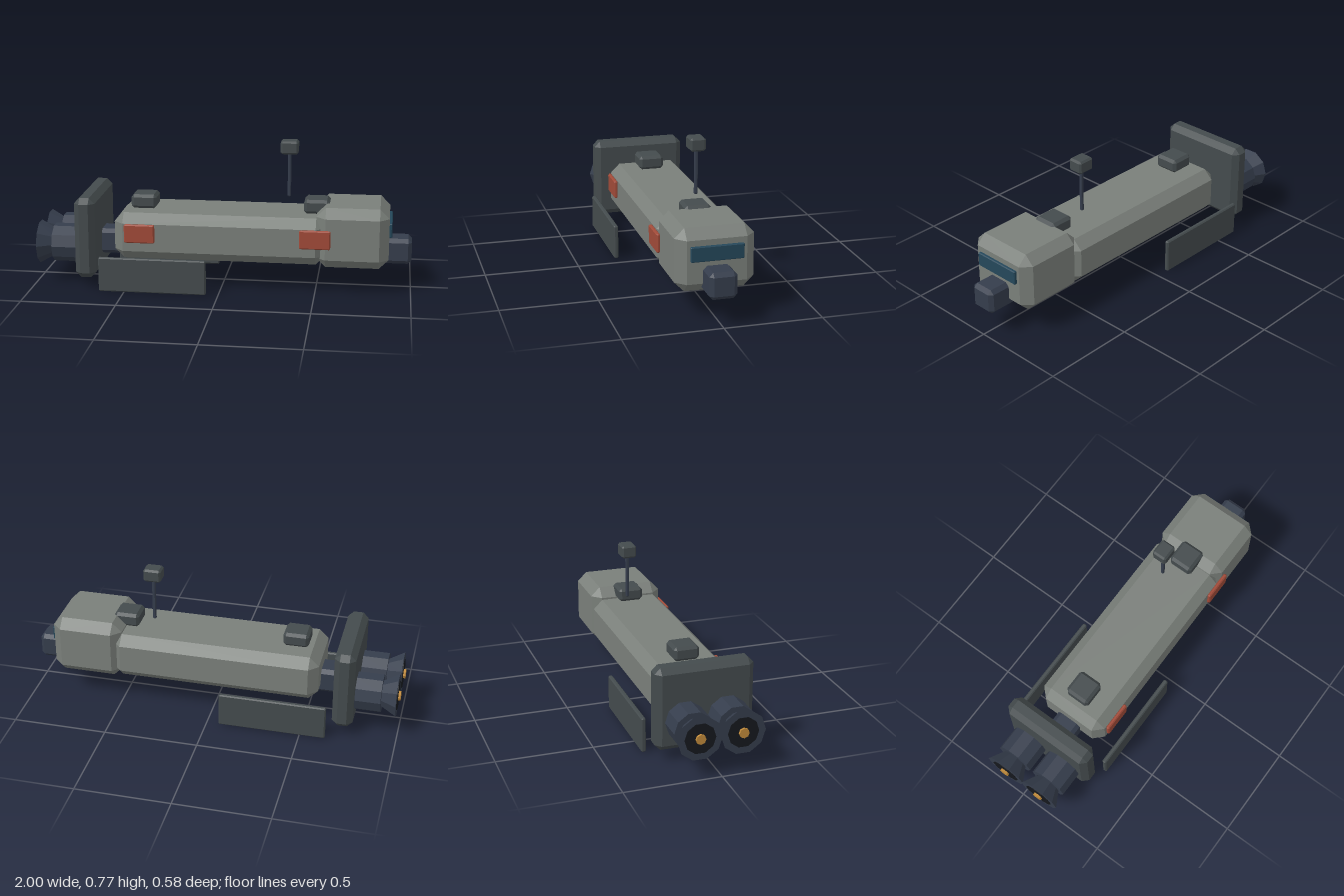
import * as THREE from 'three';
import { ConvexGeometry } from 'three/addons/geometries/ConvexGeometry.js';

const paint = (color) => new THREE.MeshStandardMaterial({ color, flatShading: true });

export function createModel() {
  const ship = new THREE.Group();
  ship.name = 'spaceship';
  const hullGrey = paint(0x7a7f7a);
  const darkGrey = paint(0x444b4d);
  const navy = paint(0x353d4c);
  const black = paint(0x15181d);
  const red = paint(0xa04a38);
  const teal = paint(0x24475a);
  const amber = paint(0xc08a3a);

  const add = (name, geometry, material) => {
    const mesh = new THREE.Mesh(geometry, material);
    mesh.name = name;
    ship.add(mesh);
    return mesh;
  };

  // Box with every edge and corner chamfered, given by its limits on each axis
  const block = (name, [x0, x1], [y0, y1], [z0, z1], c, material) => {
    const half = [(x1 - x0) / 2, (y1 - y0) / 2, (z1 - z0) / 2];
    const points = [];
    for (const sx of [-1, 1]) for (const sy of [-1, 1]) for (const sz of [-1, 1])
      for (let full = 0; full < 3; full++) {
        const [x, y, z] = half.map((h, axis) => (axis === full ? h : h - c));
        points.push(new THREE.Vector3(sx * x, sy * y, sz * z));
      }
    const mesh = add(name, new ConvexGeometry(points), material);
    mesh.position.set((x0 + x1) / 2, (y0 + y1) / 2, (z0 + z1) / 2);
  };

  // Round part along x; rBack is the radius at the stern end
  const drum = (name, [x0, x1], rBack, rFront, y, z, sides, material) => {
    const geometry = new THREE.CylinderGeometry(rBack, rFront, x1 - x0, sides).rotateZ(Math.PI / 2);
    add(name, geometry, material).position.set((x0 + x1) / 2, y, z);
  };

  // Main body
  block('hull', [-0.57, 0.55], [0.15, 0.4], [-0.2, 0.2], 0.05, hullGrey);
  block('bow', [0.5, 0.88], [0.139, 0.46], [-0.2, 0.2], 0.05, hullGrey);
  block('keel', [-0.7, 1], [0.142, 0.278], [-0.07, 0.07], 0.02, navy);
  block('window', [0.875, 0.895], [0.304, 0.38], [-0.133, 0.133], 0.004, teal);
  block('sternPlate', [-0.77, -0.66], [0.055, 0.49], [-0.256, 0.256], 0.03, darkGrey);

  // Roof pods and red side panels, fore and aft
  for (const x of [-0.428, 0.497]) {
    block('roofPod', [x - 0.068, x + 0.068], [0.4, 0.475], [-0.068, 0.068], 0.015, darkGrey);
    block('sidePanel', [x - 0.081, x + 0.081], [0.25, 0.35], [0.199, 0.219], 0.006, red);
  }

  // Sensor mast
  block('mast', [0.333, 0.351], [0.465, 0.71], [-0.059, -0.041], 0.004, navy);
  block('sensorHead', [0.295, 0.389], [0.7, 0.77], [-0.091, -0.009], 0.01, darkGrey);

  // Fins and engines on both sides
  for (const side of [-1, 1]) {
    const fin = [side * 0.276 - 0.012, side * 0.276 + 0.012];
    block('fin', [-0.635, -0.065], [0, 0.185], fin, 0.006, darkGrey);

    const z = side * 0.11;
    drum('engine', [-0.905, -0.76], 0.102, 0.102, 0.212, z, 10, navy);
    drum('nozzle', [-0.985, -0.895], 0.116, 0.065, 0.212, z, 10, navy);
    drum('nozzleThroat', [-0.988, -0.975], 0.08, 0.08, 0.212, z, 10, black);
    drum('exhaustCore', [-1, -0.98], 0.026, 0.026, 0.212, z, 8, amber);
  }

  return ship;
}
